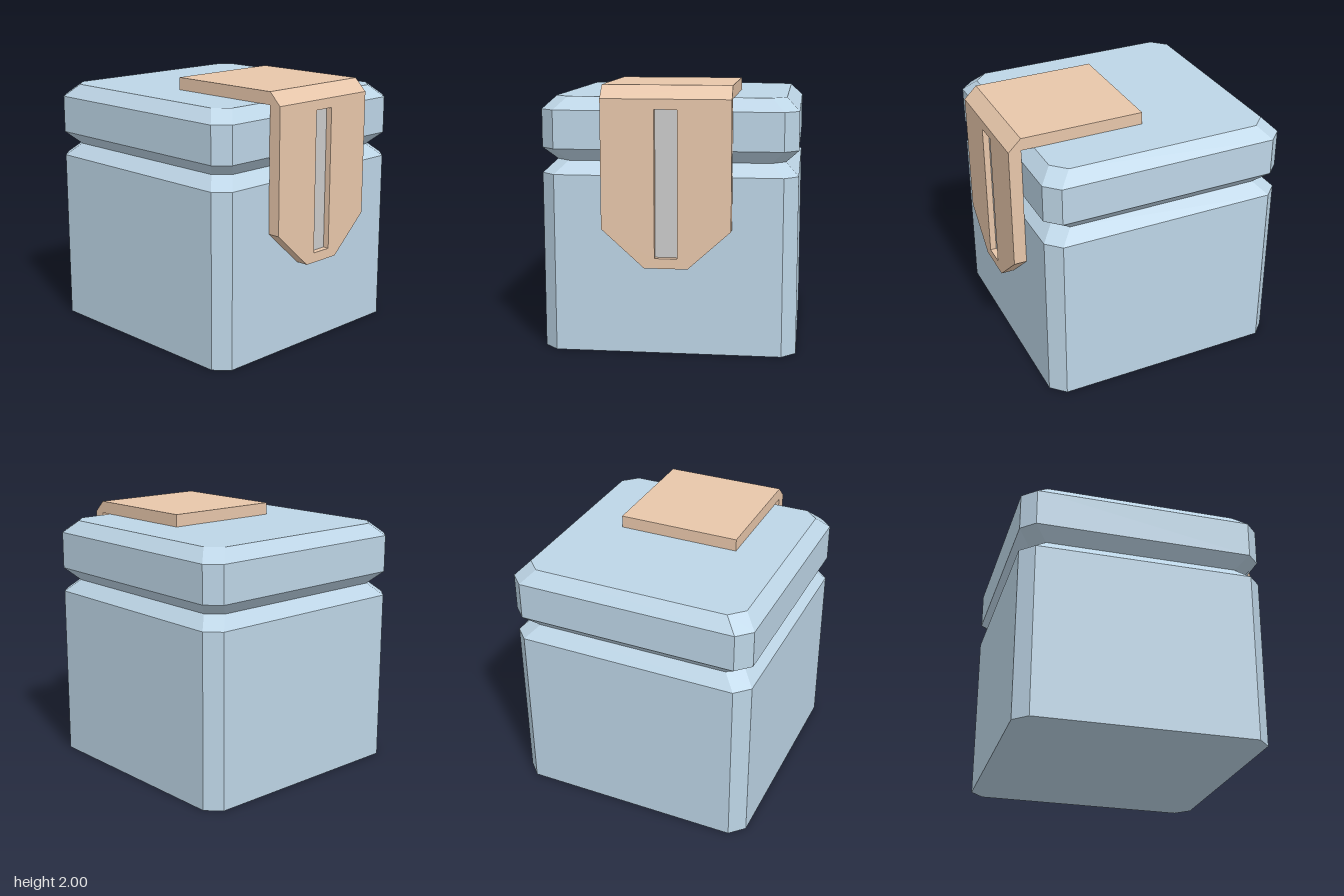
import * as THREE from 'three';

const material = (color) => new THREE.MeshStandardMaterial({ color, flatShading: true });

// Square ring with cut corners at height y, half-width h
function ring(y, h, cut = 0.105) {
  const f = h - cut;
  return [[h, -f], [h, f], [f, h], [-f, h], [-h, f], [-h, -f], [-f, -h], [f, -h]]
    .map(([x, z]) => [x, y, z]);
}

// Closed solid through a stack of rings, from bottom to top
function loft(rings) {
  const pos = [];
  const tri = (a, b, c) => pos.push(...a, ...b, ...c);
  const bottom = rings[0], top = rings[rings.length - 1], n = bottom.length;
  for (let i = 0; i < n; i++) {
    const j = (i + 1) % n;
    for (let k = 0; k + 1 < rings.length; k++) {
      const lo = rings[k], hi = rings[k + 1];
      tri(lo[i], hi[i], hi[j]);
      tri(lo[i], hi[j], lo[j]);
    }
    tri([0, bottom[0][1], 0], bottom[i], bottom[j]);
    tri([0, top[0][1], 0], top[j], top[i]);
  }
  const geometry = new THREE.BufferGeometry();
  geometry.setAttribute('position', new THREE.Float32BufferAttribute(pos, 3));
  geometry.computeVertexNormals();
  return geometry;
}

const polygon = (points) => new THREE.Shape(points.map(([x, y]) => new THREE.Vector2(x, y)));

export function createModel() {
  const group = new THREE.Group();
  const add = (name, geometry, mat, parent = group) => {
    const mesh = new THREE.Mesh(geometry, mat);
    mesh.name = name;
    parent.add(mesh);
    return mesh;
  };
  const blue = material(0xbdd5e6), tan = material(0xe7c6aa), grey = material(0xcccccc);

  // Box and lid meet in a V groove
  const box = loft([ring(0, 0.95), ring(1.335, 0.95), ring(1.43, 0.855)]);
  const lid = loft([ring(1.43, 0.855), ring(1.525, 0.95), ring(1.81, 0.95), ring(1.905, 0.855)]);
  add('box', box, blue).position.x = -0.05;
  add('lid', lid, blue).position.x = -0.05;

  // Strap: flat top with a bevelled outer edge, and a slotted hanging tongue
  const strap = new THREE.Group();
  strap.name = 'strap';
  group.add(strap);
  const half = 0.475, inner = 0.903, outer = 1;

  const topShape = polygon([[-0.05, 1.905], [outer, 1.905], [inner, 2], [-0.05, 2]]);
  const top = new THREE.ExtrudeGeometry(topShape, { depth: 2 * half, bevelEnabled: false });
  top.translate(0, 0, -half);
  add('strapTop', top, tan, strap);

  const tongueShape = polygon([
    [-half, 1.905], [-half, 0.955], [-0.16, 0.67], [0.16, 0.67], [half, 0.955], [half, 1.905],
  ]);
  tongueShape.holes.push(polygon([[-0.083, 0.745], [-0.083, 1.83], [0.083, 1.83], [0.083, 0.745]]));
  const tongue = new THREE.ExtrudeGeometry(tongueShape, { depth: outer - inner, bevelEnabled: false });
  tongue.rotateY(Math.PI / 2).translate(inner, 0, 0);
  add('strapTongue', tongue, tan, strap);

  // Grey bar recessed in the slot
  const bar = new THREE.BoxGeometry(0.05, 1.085, 0.166);
  bar.translate(inner + 0.025, 1.2875, 0);
  add('slotInlay', bar, grey, strap);

  return group;
}
